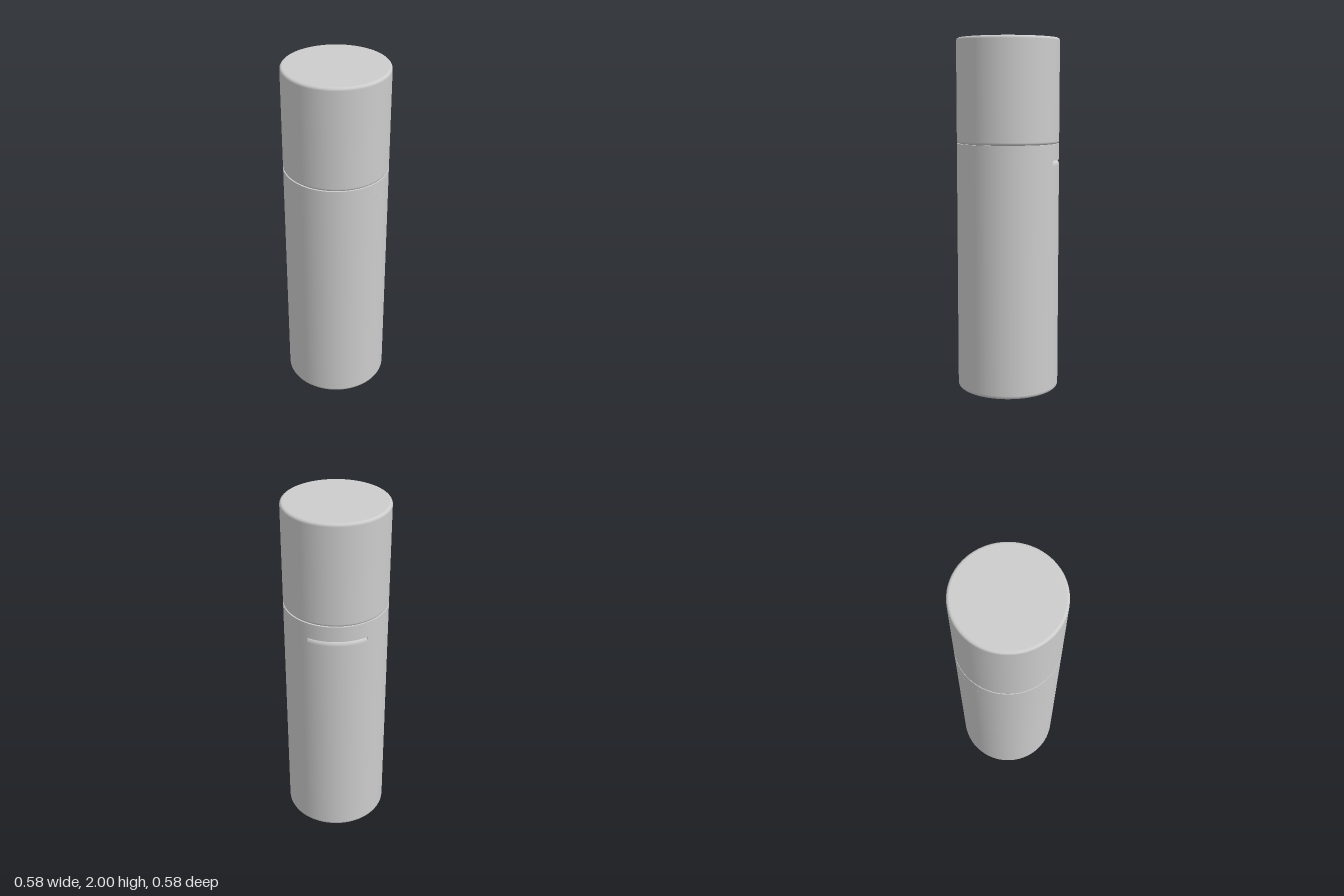
import * as THREE from 'three';

const R = 0.29;            // outer radius
const BODY_TOP = 1.325;
const CAP_BOTTOM = 1.415;
const NOTCH = 0.58;        // half angle of the finger notch at the back
const NOTCH_R = 0.027;     // rounding of the notch

// Closed cylinder profile, bottom to top, with rounded rims (0 = open top)
function profile(y0, y1, bottomRound, topRound) {
  const pts = [];
  const add = (x, y) => pts.push(new THREE.Vector2(x, y));
  const e = 0.001, n = 8;
  add(0, y0);
  add(R - bottomRound - e, y0);
  for (let i = 0; i <= n; i++) {
    const a = (i / n) * Math.PI / 2;
    add(R - bottomRound + bottomRound * Math.sin(a), y0 + bottomRound * (1 - Math.cos(a)));
  }
  add(R, y0 + bottomRound + e);
  if (topRound === 0) {
    add(R, y1);
    return pts;
  }
  add(R, y1 - topRound - e);
  for (let i = 0; i <= n; i++) {
    const a = (i / n) * Math.PI / 2;
    add(R - topRound + topRound * Math.cos(a), y1 - topRound + topRound * Math.sin(a));
  }
  add(R - topRound - e, y1);
  add(0, y1);
  return pts;
}

export function createModel() {
  const group = new THREE.Group();
  const grey = new THREE.MeshStandardMaterial({ color: 0xcccccc, side: THREE.DoubleSide });
  grey.name = 'light grey';

  const add = (name, geometry) => {
    const mesh = new THREE.Mesh(geometry, grey);
    mesh.name = name;
    group.add(mesh);
    return mesh;
  };

  // Body: plain wall all round, except the back where the rim is rounded off
  add('body', new THREE.LatheGeometry(
    profile(0, BODY_TOP, 0.02, 0), 80, Math.PI + NOTCH, 2 * Math.PI - 2 * NOTCH));
  add('bodyNotchedBack', new THREE.LatheGeometry(
    profile(0, BODY_TOP, 0.02, NOTCH_R), 20, Math.PI - NOTCH, 2 * NOTCH));

  // Small walls closing both ends of the notch
  const wall = new THREE.Shape();
  wall.moveTo(R, BODY_TOP - NOTCH_R);
  wall.lineTo(R, BODY_TOP);
  wall.lineTo(R - NOTCH_R, BODY_TOP);
  wall.absarc(R - NOTCH_R, BODY_TOP - NOTCH_R, NOTCH_R, Math.PI / 2, 0, true);
  for (const s of [-1, 1]) {
    add('notchEnd', new THREE.ShapeGeometry(wall, 8)).rotation.y = Math.PI / 2 + s * NOTCH;
  }

  // Collar ring between body and cap
  const collar = add('collar', new THREE.CylinderGeometry(R, R, CAP_BOTTOM - BODY_TOP, 100));
  collar.position.y = (CAP_BOTTOM + BODY_TOP) / 2;

  // Cap with rounded rims
  add('cap', new THREE.LatheGeometry(profile(CAP_BOTTOM, 2, 0.015, 0.015), 100));

  return group;
}
